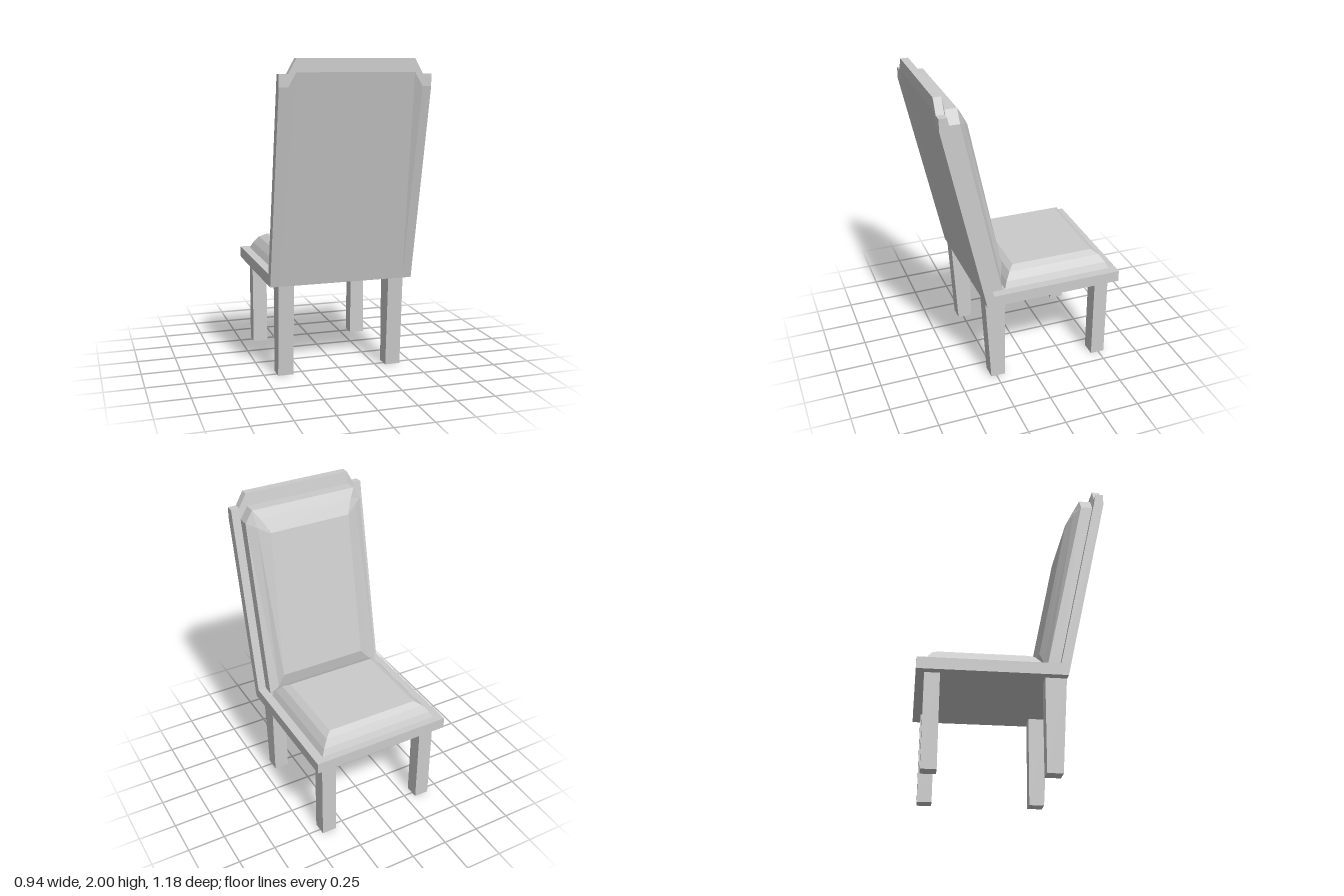
import * as THREE from 'three';

const material = new THREE.MeshStandardMaterial({ color: 0xcccccc, flatShading: true });

// Skin a stack of equal rings (counter-clockwise seen from the last ring) and close both ends.
function loft(rings) {
  const n = rings[0].length, pos = [];
  const quad = (a, b, c, d) => pos.push(...a, ...b, ...c, ...a, ...c, ...d);
  for (let i = 0; i < rings.length - 1; i++) {
    for (let j = 0; j < n; j++) {
      const k = (j + 1) % n;
      quad(rings[i][j], rings[i][k], rings[i + 1][k], rings[i + 1][j]);
    }
  }
  const first = rings[0], last = rings[rings.length - 1];
  for (let j = 0; j < n / 2 - 1; j++) {
    quad(last[j], last[j + 1], last[n - 2 - j], last[n - 1 - j]);
    quad(first[n - 1 - j], first[n - 2 - j], first[j + 1], first[j]);
  }
  const g = new THREE.BufferGeometry();
  g.setAttribute('position', new THREE.Float32BufferAttribute(pos, 3));
  g.computeVertexNormals();
  return g;
}

// Horizontal rectangle ring
const rect = (x0, x1, z0, z1, y) => [[x0, y, z1], [x1, y, z1], [x1, y, z0], [x0, y, z0]];

export function createModel() {
  const chair = new THREE.Group();
  chair.name = 'chair';
  const add = (name, geometry) => {
    const mesh = new THREE.Mesh(geometry, material);
    mesh.name = name;
    chair.add(mesh);
  };

  // Seat board
  add('seat', loft([rect(-0.47, 0.47, -0.59, 0.323, 0.595), rect(-0.47, 0.47, -0.59, 0.323, 0.67)]));

  // Seat cushion with a rounded edge: [height, inset]
  const seatProfile = [[0.665, 0], [0.71, 0.024], [0.755, 0.06], [0.78, 0.103]];
  add('seatCushion', loft(seatProfile.map(([y, d]) =>
    rect(-0.415 + d, 0.415 - d, -0.545 + d * 0.88, 0.19 - d * 0.88, y))));

  // Legs; the rear ones taper towards the floor
  for (const [side, s] of [['left', 1], ['right', -1]]) {
    const x0 = Math.min(s * 0.315, s * 0.415), x1 = x0 + 0.1;
    add(side + 'FrontLeg', loft([rect(x0, x1, -0.54, -0.445, 0), rect(x0, x1, -0.54, -0.445, 0.6)]));
    add(side + 'RearLeg', loft([rect(x0, x1, 0.19, 0.287, 0), rect(x0, x1, 0.19, 0.323, 0.6)]));
  }

  // Raked backrest board with stepped, chamfered shoulders and an upright crest
  const row = (xs, yShoulder, yMid, zBack, zFront) => {
    const line = [...xs.map(x => -x), ...[...xs].reverse()]
      .map((x, i) => [x, i === 2 || i === 3 ? yMid : yShoulder]);
    return [
      ...line.map(([x, y]) => [x, y, zBack]),
      ...line.reverse().map(([x, y]) => [x, y, zFront]),
    ];
  };
  add('backrest', loft([
    row([0.47, 0.415, 0.41], 0.595, 0.595, 0.325, 0.265),
    row([0.47, 0.415, 0.365], 1.835, 1.92, 0.595, 0.53),
    row([0.47, 0.415, 0.365], 1.91, 2, 0.595, 0.545),
  ]));

  // Back cushion: outline with clipped top corners, stepping forward to a flat panel
  const outline = (x, xTop, y0, ySide, yTop, z0, zSide, zTop, xLeft = x) => [
    [-x, ySide, zSide], [-xTop, yTop, zTop], [xTop, yTop, zTop],
    [x, ySide, zSide], [xLeft, y0, z0], [-x, y0, z0],
  ];
  add('backCushion', loft([
    outline(0.415, 0.365, 0.665, 1.84, 1.92, 0.285, 0.535, 0.535),
    outline(0.415, 0.365, 0.665, 1.84, 1.92, 0.205, 0.455, 0.455),
    outline(0.355, 0.325, 0.72, 1.815, 1.865, 0.193, 0.413, 0.42),
    outline(0.28, 0.28, 0.81, 1.775, 1.78, 0.178, 0.37, 0.371, 0.32),
  ]));

  return chair;
}
